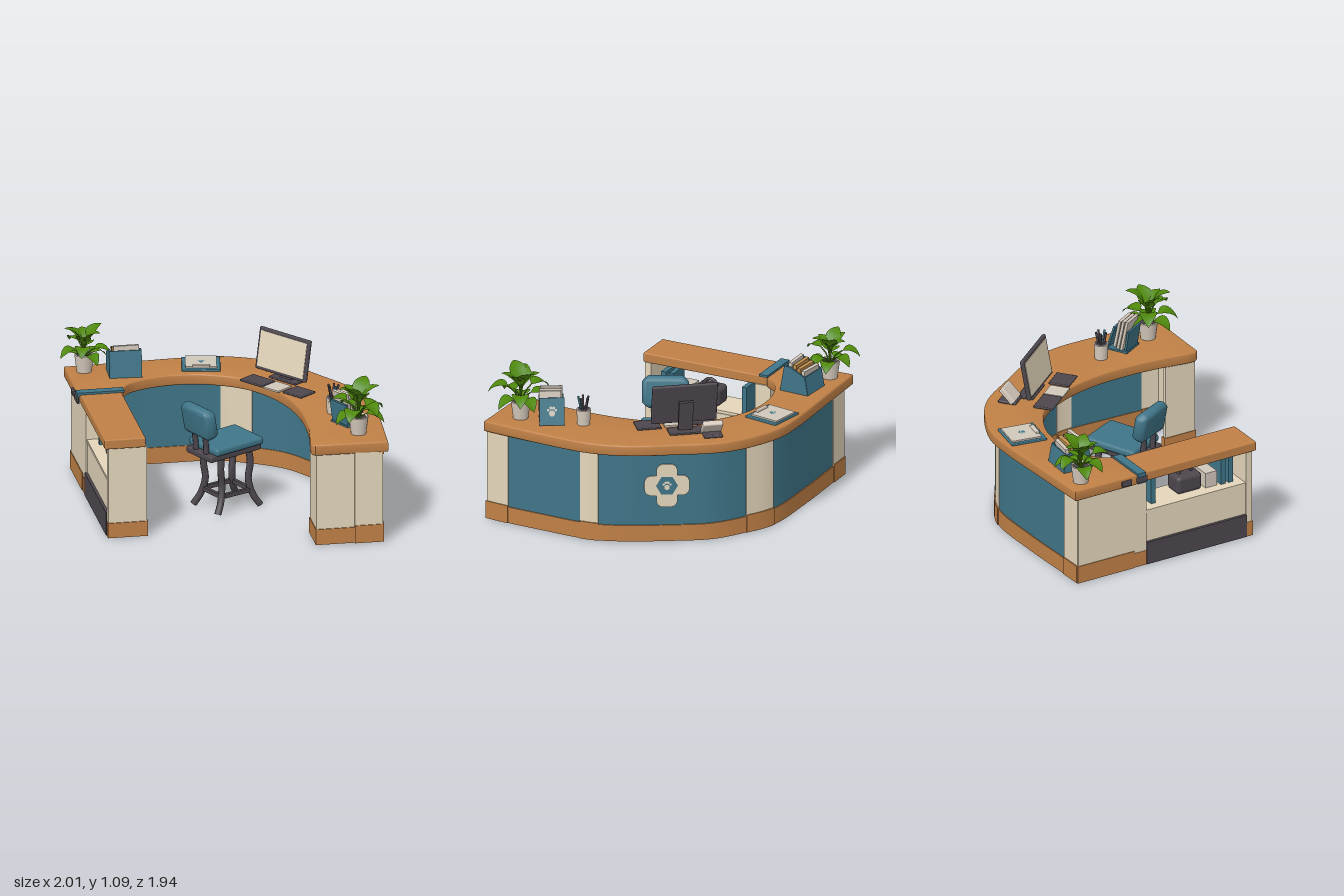
import * as THREE from 'three';
import { toCreasedNormals } from 'three/addons/utils/BufferGeometryUtils.js';
import { RoundedBoxGeometry } from 'three/addons/geometries/RoundedBoxGeometry.js';

const V = (x, y, z) => new THREE.Vector3(x, y, z);
const paint = (name, color, side = THREE.FrontSide) => {
  const m = new THREE.MeshStandardMaterial({ color, side });
  m.name = name;
  return m;
};
const wood = paint('wood', 0xc08046), cream = paint('cream', 0xe4d6bb), teal = paint('teal', 0x3f7588);
const dark = paint('charcoal', 0x4d474e), green = paint('leafGreen', 0x4e880b, THREE.DoubleSide);
const clay = paint('potGrey', 0xd6cabc), paper = paint('paper', 0xd2c8bb), tan = paint('tan', 0xc4924e);

function add(parent, name, geo, mat, p = [0, 0, 0], r = [0, 0, 0]) {
  const m = new THREE.Mesh(geo, mat);
  m.name = name;
  m.position.set(...p);
  m.rotation.set(...r);
  parent.add(m);
  return m;
}
function group(parent, name, p, ry = 0) {
  const g = new THREE.Group();
  g.name = name;
  g.position.set(...p);
  g.rotation.y = ry;
  parent.add(g);
  return g;
}
const box = (w, h, d) => new THREE.BoxGeometry(w, h, d);
const round = (w, h, d, r) => new RoundedBoxGeometry(w, h, d, 3, r);
const cyl = (a, b, h, n = 16) => new THREE.CylinderGeometry(a, b, h, n);
const tube = (pts, r, n = 10) => new THREE.TubeGeometry(new THREE.CatmullRomCurve3(pts.map(p => V(...p))), n, r, 8);
// box given by its limits
function span(parent, name, mat, x0, x1, y0, y1, z0, z1) {
  return add(parent, name, box(x1 - x0, y1 - y0, z1 - z0), mat, [(x0 + x1) / 2, (y0 + y1) / 2, (z0 + z1) / 2]);
}
const curve = pts => new THREE.CatmullRomCurve3(pts.map(([x, z]) => V(x, 0, z)), false, 'centripetal');

// plan outline of [x, z] points raised from y0 to y1
function slab(pts, y0, y1, bevel = 0) {
  const shape = new THREE.Shape(pts.map(([x, z]) => new THREE.Vector2(x, -z)));
  const g = new THREE.ExtrudeGeometry(shape, {
    depth: y1 - y0 - 2 * bevel, bevelEnabled: bevel > 0, bevelThickness: bevel,
    bevelSize: bevel, bevelOffset: -bevel, bevelSegments: 3,
  });
  return toCreasedNormals(g.rotateX(-Math.PI / 2).translate(0, y0 + bevel, 0), 0.6);
}
function plate(w, h, r, d) {
  const s = new THREE.Shape(), a = w / 2 - r, b = h / 2 - r;
  [[a, b], [-a, b], [-a, -b], [a, -b]].forEach(([x, y], i) => s.absarc(x, y, r, i * Math.PI / 2, (i + 1) * Math.PI / 2));
  return new THREE.ExtrudeGeometry(s, { depth: d, bevelEnabled: false, curveSegments: 6 });
}
// pad and toes, facing +z
function paw(parent, mat, size, p, r) {
  const g = group(parent, 'pawMark', p);
  g.rotation.set(...r);
  [[0, -0.3, 0.5], [-0.6, 0.25, 0.22], [-0.2, 0.6, 0.24], [0.25, 0.6, 0.24], [0.62, 0.25, 0.22]].forEach(([x, y, k]) =>
    add(g, 'pawPad', new THREE.CircleGeometry(k * size, 12), mat, [x * size, y * size, 0]));
}

function buildDesk(root) {
  const desk = group(root, 'desk', [0, 0, 0]);
  const outer = curve([[-0.955, -0.895], [-0.5, -0.91], [-0.1, -0.922], [0.13, -0.905], [0.34, -0.825], [0.5, -0.725], [0.61, -0.61],
    [0.74, -0.41], [0.87, -0.21], [0.95, -0.03], [0.985, 0.12], [0.995, 0.25], [0.98, 0.6], [0.955, 0.955]]);
  const inner = curve([[0.45, 0.945], [0.43, 0.92], [0.47, 0.6], [0.48, 0.3], [0.46, 0.1], [0.41, -0.1], [0.3, -0.32], [0.18, -0.45],
    [0, -0.55], [-0.12, -0.582], [-0.27, -0.588], [-0.42, -0.56], [-0.57, -0.49], [-0.635, -0.4]]);
  const edge = [...outer.getPoints(50), ...inner.getPoints(50), V(-0.955, 0, -0.4)].map(p => [p.x, p.z]);
  add(desk, 'worktop', slab(edge, 0.652, 0.73, 0.012), wood);

  // curved outer wall, cut at its control points
  const stops = [[-0.91, -0.845], [-0.74, -0.848], [-0.3, -0.858], [0.125, -0.838], [0.335, -0.738], [0.55, -0.585], [0.72, -0.33],
    [0.85, -0.1], [0.925, 0.09], [0.943, 0.22], [0.938, 0.5], [0.928, 0.78], [0.913, 0.95]];
  const wall = curve(stops), n = stops.length - 1;
  const strip = (name, mat, a, b, y0, y1, out, back) => {
    const o = [], i = [];
    for (let k = 0; k <= 24; k++) {
      const t = (a + (b - a) * k / 24) / n, p = wall.getPoint(t), d = wall.getTangent(t);
      o.push([p.x + d.z * out, p.z - d.x * out]);
      i.unshift([p.x - d.z * back, p.z + d.x * back]);
    }
    add(desk, name, slab([...o, ...i], y0, y1), mat);
  };
  [[0, 1, cream], [1, 3, teal], [3, 4, cream], [4, 8, teal], [8, 9, cream], [9, 11, teal], [11, 12, cream]].forEach(([a, b, m]) => {
    const k = m === cream ? 0.006 : 0;
    strip(m === cream ? 'wallPost' : 'wallPanel', m, a, b, 0.1, 0.66, k, 0.026 + k);
    strip('baseBand', wood, a, b, 0.003, m === cream ? 0.13 : 0.12, 0.008 + k, 0.032 + k);
  });
  strip('underTopTrim', wood, 0, n, 0.64, 0.66, 0.012, 0.036);

  // left return and front end of the counter
  span(desk, 'leftReturn', cream, -0.915, -0.88, 0.1, 0.66, -0.848, -0.4);
  span(desk, 'leftReturnBase', wood, -0.92, -0.875, 0.003, 0.13, -0.856, -0.4);
  span(desk, 'endPanelInner', cream, 0.46, 0.73, 0.1, 0.66, 0.905, 0.935);
  span(desk, 'endPanelOuter', cream, 0.725, 0.918, 0.1, 0.66, 0.905, 0.95);
  span(desk, 'endBaseInner', wood, 0.455, 0.73, 0.003, 0.115, 0.9, 0.942);
  span(desk, 'endBaseOuter', wood, 0.725, 0.926, 0.003, 0.13, 0.9, 0.956);
  span(desk, 'endReturn', cream, 0.46, 0.49, 0.1, 0.66, 0.7, 0.91);
  span(desk, 'endReturnBase', wood, 0.455, 0.495, 0.003, 0.115, 0.69, 0.91);

  // cross emblem with paw on the right wall
  const t = 6 / n, p = wall.getPoint(t), d = wall.getTangent(t);
  const sign = group(desk, 'crossEmblem', [p.x + d.z * 0.004, 0.412, p.z - d.x * 0.004], Math.atan2(d.z, -d.x));
  add(sign, 'crossBar', plate(0.31, 0.145, 0.05, 0.008), cream);
  add(sign, 'crossPost', plate(0.145, 0.315, 0.05, 0.009), cream);
  add(sign, 'emblemCentre', new THREE.CircleGeometry(0.075, 6), teal, [0, 0, 0.0105]);
  paw(sign, cream, 0.038, [0, 0, 0.012], [0, 0, 0]);
}

function buildCabinet(root) {
  const c = group(root, 'cabinet', [0, 0, 0]);
  add(c, 'cabinetTop', round(0.285, 0.07, 0.96, 0.01), wood, [-0.798, 0.688, 0.085]);
  span(c, 'cabinetFront', cream, -0.912, -0.645, 0.1, 0.66, 0.5, 0.545);
  span(c, 'cabinetRear', cream, -0.912, -0.645, 0.1, 0.66, -0.42, -0.3);
  // base bands around a raised floor
  span(c, 'cabinetFloor', cream, -0.9, -0.65, 0.02, 0.1, -0.41, 0.54);
  span(c, 'innerBase', wood, -0.665, -0.637, 0.003, 0.11, -0.42, 0.552);
  span(c, 'frontBase', wood, -0.915, -0.66, 0.003, 0.11, 0.5, 0.552);
  span(c, 'rearBase', wood, -0.915, -0.66, 0.003, 0.11, -0.42, -0.3);
  span(c, 'outerPlinth', dark, -0.92, -0.9, 0.004, 0.17, -0.3, 0.5);
  span(c, 'drawerCase', cream, -0.9, -0.66, 0.1, 0.4, -0.3, 0.5);
  span(c, 'shelf', cream, -0.905, -0.65, 0.39, 0.41, -0.3, 0.5);
  [0.19, 0.325].forEach(y => {
    add(c, 'drawerFront', round(0.025, 0.125, 0.77, 0.006), cream, [-0.655, y, 0.1]);
    add(c, 'drawerHandle', round(0.025, 0.03, 0.09, 0.008), dark, [-0.637, y + 0.03, 0.215]);
  });
  // things on the shelf
  [-0.2, 0.36, 0.42].forEach(z => span(c, 'binder', teal, -0.84, -0.68, 0.41, 0.6, z - 0.018, z + 0.018));
  span(c, 'paperBlock', paper, -0.83, -0.7, 0.41, 0.52, 0.225, 0.315);
  add(c, 'shelfBag', round(0.15, 0.13, 0.2, 0.03), dark, [-0.76, 0.475, 0.1]);
  add(c, 'bagHandle', new THREE.TorusGeometry(0.05, 0.012, 8, 16, Math.PI), dark, [-0.76, 0.53, 0.1], [0, Math.PI / 2, 0]);
  // strap over the joint
  span(c, 'strap', teal, -0.96, -0.638, 0.722, 0.738, -0.4, -0.335);
  span(c, 'strapDrop', teal, -0.965, -0.95, 0.66, 0.738, -0.4, -0.335);
  [-0.49, -0.367].forEach(z => add(c, 'clasp', round(0.02, 0.04, 0.08, 0.006), dark, [-0.964, 0.69, z]));
}

function buildChair(root) {
  const c = group(root, 'chair', [0, 0, 0.06], 0.45);
  add(c, 'seat', round(0.4, 0.055, 0.335, 0.022), teal, [-0.005, 0.475, 0], [0, 0, 0.03]);
  add(c, 'seatFrame', round(0.43, 0.045, 0.29, 0.012), dark, [-0.025, 0.428, 0], [0, 0, 0.03]);
  // backrest wraps forward at its ends and narrows towards top and bottom
  const back = new RoundedBoxGeometry(0.085, 0.25, 0.36, 5, 0.04), pos = back.attributes.position;
  for (let i = 0; i < pos.count; i++) {
    const z = pos.getZ(i) * (1 - 0.22 * (pos.getY(i) / 0.125) ** 2);
    pos.setXYZ(i, pos.getX(i) + 0.9 * z * z, pos.getY(i) * (1 - 0.25 * (z / 0.18) ** 2), z);
  }
  add(c, 'backrest', toCreasedNormals(back, 0.9), teal, [-0.25, 0.668, 0], [0, 0, 0.18]);
  [-0.06, 0.06].forEach(z => add(c, 'backSupport', tube([[-0.12, 0.42, z], [-0.21, 0.43, z], [-0.22, 0.5, z], [-0.23, 0.6, z]], 0.02), dark));
  for (const x of [-1, 1]) for (const z of [-1, 1])
    add(c, 'leg', tube([[0.115 * x, 0.41, 0.095 * z], [0.125 * x, 0.32, 0.1 * z], [0.112 * x, 0.2, 0.095 * z],
      [0.135 * x, 0.09, 0.115 * z], [0.18 * x, 0.012, 0.14 * z]], 0.024, 16), dark);
  for (const k of [-1, 1]) {
    add(c, 'sideRung', box(0.25, 0.03, 0.024), dark, [0, 0.125, 0.11 * k]);
    add(c, 'crossRung', box(0.024, 0.03, 0.22), dark, [0.125 * k, 0.125, 0]);
  }
}

// heart-shaped drooping leaf growing along +x
function leafGeometry(len, wide, rise, droop) {
  const g = new THREE.PlaneGeometry(1, 2, 8, 4), p = g.attributes.position;
  for (let i = 0; i < p.count; i++) {
    const t = p.getX(i) + 0.5, u = p.getY(i), w = wide * Math.sin(Math.PI * t ** 0.65) ** 0.8, a = rise - droop * t / 2;
    p.setXYZ(i, len * t * Math.cos(a), len * t * Math.sin(a) + 0.25 * w * Math.abs(u), -u * w);
  }
  g.computeVertexNormals();
  return g;
}
function buildPlant(root, x, z, turn, size) {
  const g = group(root, 'plant', [x, 0.73, z], turn);
  const pot = [[0, 0], [0.052, 0], [0.068, 0.125], [0.062, 0.13], [0.056, 0.11], [0, 0.11]].map(([r, y]) => new THREE.Vector2(r, y));
  add(g, 'pot', toCreasedNormals(new THREE.LatheGeometry(pot, 20), 0.6), clay);
  add(g, 'soil', cyl(0.056, 0.056, 0.008), dark, [0, 0.112, 0]);
  // low drooping leaves, then upright ones
  for (let i = 0; i < 14; i++) {
    const high = i > 7, a = high ? i * 1.15 : i * 0.8 + 0.15 * (i % 2), r = high ? 0.004 + 0.012 * (i % 3) : 0.045 + 0.02 * (i % 3);
    const h = (high ? 0.205 + 0.02 * (i % 3) : 0.13 + 0.04 * (i % 3)) * size;
    const sprig = group(g, 'sprig', [0, 0, 0], a);
    add(sprig, 'stem', tube([[0, 0.1, 0], [r * 0.5, 0.1 + (h - 0.1) * 0.7, 0], [r, h, 0]], 0.005, 5), green);
    add(sprig, 'leaf', leafGeometry((high ? 0.15 : 0.135) * size, 0.056 * size, high ? 1.25 : 0.6, high ? 1.2 : 1.8), green, [r, h, 0]);
  }
}

function buildDeskItems(root) {
  // monitor with keyboard pads and phone
  const m = group(root, 'monitor', [0.475, 0.73, -0.34], -0.9);
  const head = group(m, 'monitorHead', [0, 0.195, 0.01]);
  head.rotation.x = -0.18;
  add(head, 'monitorCase', round(0.455, 0.295, 0.028, 0.01), dark);
  add(head, 'screen', box(0.415, 0.25, 0.006), cream, [0, 0, 0.0145]);
  add(m, 'monitorNeck', box(0.1, 0.23, 0.024), dark, [0, 0.115, -0.035], [-0.16, 0, 0]);
  add(m, 'monitorFoot', round(0.24, 0.014, 0.12, 0.006), dark, [0, 0.008, -0.03]);
  const pads = group(root, 'deskPads', [0.4, 0.735, -0.21], -0.9);
  add(pads, 'keyboard', round(0.2, 0.016, 0.14, 0.006), dark, [-0.18, 0.004, 0]);
  add(pads, 'notePaper', box(0.14, 0.012, 0.14), paper, [0, 0.002, 0]);
  add(pads, 'mousePad', round(0.17, 0.014, 0.15, 0.006), dark, [0.18, 0.003, -0.02]);
  const phone = group(root, 'phone', [0.465, 0.73, -0.545], -0.9);
  add(phone, 'phoneBase', round(0.13, 0.02, 0.13, 0.008), dark, [0, 0.01, 0]);
  add(phone, 'phoneBody', round(0.14, 0.13, 0.04, 0.01), clay, [0, 0.06, 0], [-0.75, 0, 0]);

  // clipboard
  const clip = group(root, 'clipboard', [-0.03, 0.735, -0.75], -0.17);
  add(clip, 'board', round(0.265, 0.016, 0.26, 0.006), teal);
  add(clip, 'sheets', box(0.215, 0.012, 0.215), paper, [0, 0.013, -0.01]);
  add(clip, 'clip', round(0.12, 0.014, 0.03, 0.006), clay, [0, 0.024, 0.09]);
  paw(clip, teal, 0.03, [0, 0.0205, -0.005], [-Math.PI / 2, 0, 0]);

  // letter box with slanted sides
  const lb = group(root, 'letterBox', [-0.573, 0.73, -0.7], -0.06);
  const side = new THREE.Shape([[-0.11, 0], [0.11, 0], [0.075, 0.185], [0.03, 0.185], [-0.085, 0.13]].map(q => new THREE.Vector2(...q)));
  [-0.112, 0.1].forEach(x => add(lb, 'boxSide', new THREE.ExtrudeGeometry(side, { depth: 0.012, bevelEnabled: false })
    .rotateY(-Math.PI / 2).translate(0.012, 0, 0), teal, [x, 0, 0]));
  add(lb, 'boxFront', box(0.22, 0.188, 0.012), teal, [0, 0.093, 0.088], [-0.187, 0, 0]);
  add(lb, 'boxBack', box(0.22, 0.13, 0.012), teal, [0, 0.065, -0.095], [0.19, 0, 0]);
  add(lb, 'boxFloor', box(0.21, 0.012, 0.2), teal, [0, 0.008, 0]);
  [[-0.06, paper], [-0.025, tan], [0.015, tan], [0.05, paper]].forEach(([z, mat], i) =>
    add(lb, 'letter', box(0.175, 0.15 + 0.016 * i, 0.025), mat, [0.008 * (i % 2), 0.09 + 0.008 * i, z], [-0.1, 0.04 * (i - 1.5), 0]));

  // leaflet holder and pen cup
  const lh = group(root, 'leafletHolder', [0.75, 0.73, 0.54], 0.52);
  const front = add(lh, 'holderFront', box(0.014, 0.19, 0.17), teal, [0.055, 0.093, 0], [0, 0, 0.32]);
  paw(front, paper, 0.042, [0.0085, 0, 0], [0, Math.PI / 2, 0]);
  add(lh, 'holderBack', box(0.014, 0.17, 0.17), teal, [-0.07, 0.084, 0], [0, 0, 0.15]);
  add(lh, 'holderFloor', box(0.15, 0.012, 0.17), teal, [0, 0.008, 0]);
  [-0.045, -0.015, 0.015].forEach((x, i) => add(lh, 'leaflet', box(0.02, 0.23 - 0.012 * i, 0.15), paper, [x, 0.122, 0.006 * i], [0, 0, 0.2]));
  const cup = group(root, 'penCup', [0.69, 0.73, 0.325]);
  add(cup, 'cup', cyl(0.05, 0.044, 0.11, 20), clay, [0, 0.055, 0]);
  add(cup, 'cupInside', new THREE.CircleGeometry(0.044, 16), dark, [0, 0.111, 0], [-Math.PI / 2, 0, 0]);
  for (let i = 0; i < 5; i++) {
    const a = i * 1.257;
    add(cup, 'pen', cyl(0.008, 0.008, 0.13, 8), i === 1 ? teal : dark, [0.024 * Math.cos(a), 0.135, 0.024 * Math.sin(a)],
      [0.2 * Math.sin(a), 0, -0.2 * Math.cos(a)]);
  }
}

export function createModel() {
  const root = new THREE.Group();
  root.name = 'receptionDesk';
  buildDesk(root);
  buildCabinet(root);
  buildChair(root);
  buildDeskItems(root);
  buildPlant(root, -0.835, -0.78, 0.3, 0.95);
  buildPlant(root, 0.785, 0.76, 1, 1.08);
  return root;
}
